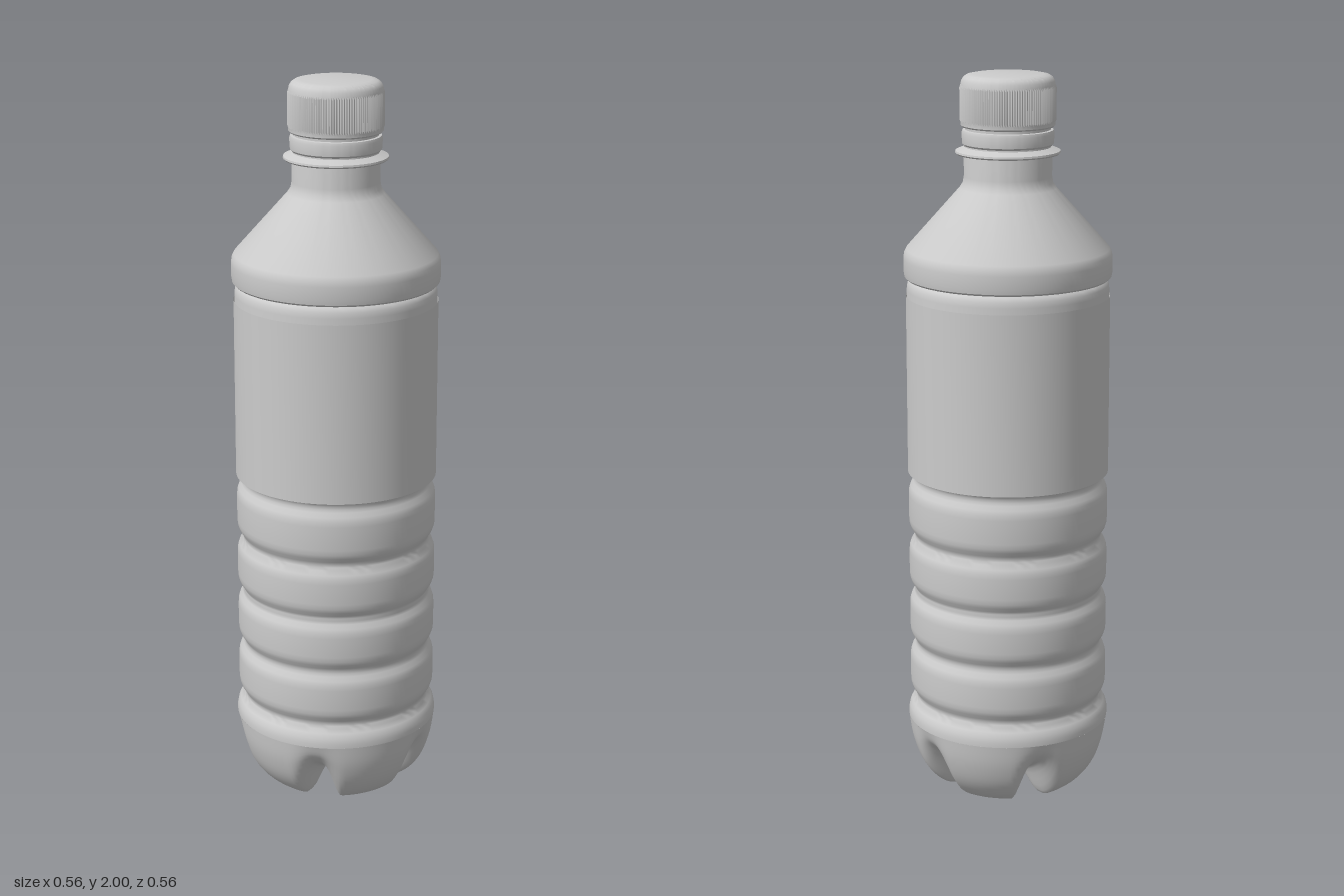
import * as THREE from 'three';
import { mergeVertices, toCreasedNormals } from 'three/addons/utils/BufferGeometryUtils.js';

const material = new THREE.MeshStandardMaterial({ color: 0xcccccc, side: THREE.DoubleSide });
const vec = ([x, y]) => new THREE.Vector2(x, y);

function part(name, geometry) {
  const mesh = new THREE.Mesh(geometry, material);
  mesh.name = name;
  return mesh;
}

// Revolved profile of [radius, height] points, listed from the bottom up
function turned(name, points, crease = 0.6, segments = 96) {
  return part(name, toCreasedNormals(new THREE.LatheGeometry(points.map(vec), segments), crease));
}

// Five-footed base: blends a foot profile into a valley profile around the axis
function makeBase() {
  const foot = [[0, 0.05], [0.05, 0.045], [0.1, 0.025], [0.13, 0.004], [0.155, 0], [0.185, 0.006],
    [0.222, 0.035], [0.252, 0.08], [0.272, 0.14], [0.281, 0.2]];
  const valley = [[0, 0.05], [0.05, 0.052], [0.09, 0.06], [0.12, 0.07], [0.15, 0.084], [0.18, 0.1],
    [0.213, 0.12], [0.243, 0.14], [0.269, 0.168], [0.281, 0.2]];
  const rows = 36;
  const footCurve = new THREE.SplineCurve(foot.map(vec));
  const valleyCurve = new THREE.SplineCurve(valley.map(vec));
  const footPoints = footCurve.getPoints(rows);
  const valleyPoints = valleyCurve.getPoints(rows);
  const segments = 160;
  const geometry = new THREE.LatheGeometry(footPoints, segments);
  const position = geometry.attributes.position;
  const step = Math.PI * 2 / 5;
  for (let i = 0; i <= segments; i++) {
    const angle = (i % segments) / segments * Math.PI * 2;
    const offset = Math.abs(angle - Math.round(angle / step) * step);
    const weight = 1 - THREE.MathUtils.smoothstep(offset, 0.03, 0.29);
    for (let j = 0; j <= rows; j++) {
      const p = footPoints[j].clone().lerp(valleyPoints[j], weight);
      position.setXYZ(i * (rows + 1) + j, p.x * Math.sin(angle), p.y, p.x * Math.cos(angle));
    }
  }
  geometry.deleteAttribute('normal');
  geometry.deleteAttribute('uv');
  const welded = mergeVertices(geometry, 1e-5);
  welded.computeVertexNormals();
  return part('footedBase', welded);
}

// Screw cap with fine vertical grip ridges
function makeCap() {
  const profile = [[0.11, 1.862], [0.122, 1.862], [0.126, 1.866], [0.126, 1.874], [0.126, 1.88],
    [0.126, 1.965], [0.126, 1.972], [0.124, 1.982], [0.119, 1.991], [0.11, 1.997], [0.095, 2], [0, 2]];
  const segments = 240;
  const geometry = new THREE.LatheGeometry(profile.map(vec), segments);
  const position = geometry.attributes.position;
  for (let i = 0; i <= segments; i++) {
    if (i % 2) continue;
    for (const j of [4, 5]) {
      const k = i * profile.length + j;
      position.setX(k, position.getX(k) * 1.022);
      position.setZ(k, position.getZ(k) * 1.022);
    }
  }
  return part('cap', toCreasedNormals(geometry, 0.6));
}

export function createModel() {
  const group = new THREE.Group();
  group.name = 'bottle';
  group.add(makeBase());

  // Ribbed lower body: rounded grooves with gently bulged bands between them
  const grooves = [0.262, 0.42, 0.575, 0.732, 0.898];
  const ribs = [[0.281, 0.2], [0.281, 0.212], [0.278, 0.227], [0.271, 0.24]];
  grooves.forEach((y, i) => {
    ribs.push([0.262, y - 0.012], [0.259, y - 0.004], [0.259, y + 0.004], [0.262, y + 0.012]);
    const next = grooves[i + 1];
    if (next) {
      ribs.push([0.27, y + 0.024], [0.274, y + 0.036], [0.275, y + 0.05],
        [0.275, next - 0.05], [0.274, next - 0.036], [0.27, next - 0.024]);
    }
  });
  ribs.push([0.269, 0.918], [0.274, 0.926]);
  group.add(turned('ribbedBody', ribs, 0.9));

  // Straight label panel, rounded in at the top
  group.add(turned('labelPanel', [[0.274, 0.926], [0.274, 1.425], [0.272, 1.44], [0.267, 1.45], [0.26, 1.455]]));
  group.add(turned('labelSleeve', [[0.2765, 0.915], [0.2765, 1.408]]));

  // Shoulder cone and neck
  group.add(turned('shoulder', [[0.26, 1.455], [0.275, 1.457], [0.28, 1.462], [0.282, 1.475], [0.282, 1.51],
    [0.28, 1.524], [0.274, 1.536], [0.13, 1.698], [0.121, 1.712], [0.118, 1.73], [0.118, 1.79], [0.114, 1.81],
    [0.114, 1.87]]));

  // Carrying flange and tamper band below the cap
  group.add(turned('neckFlange', [[0.116, 1.788], [0.137, 1.789], [0.141, 1.793], [0.14, 1.798], [0.116, 1.808]]));
  group.add(turned('tamperBand', [[0.11, 1.812], [0.118, 1.812], [0.122, 1.817], [0.124, 1.845],
    [0.121, 1.853], [0.11, 1.855]]));
  group.add(makeCap());
  return group;
}
